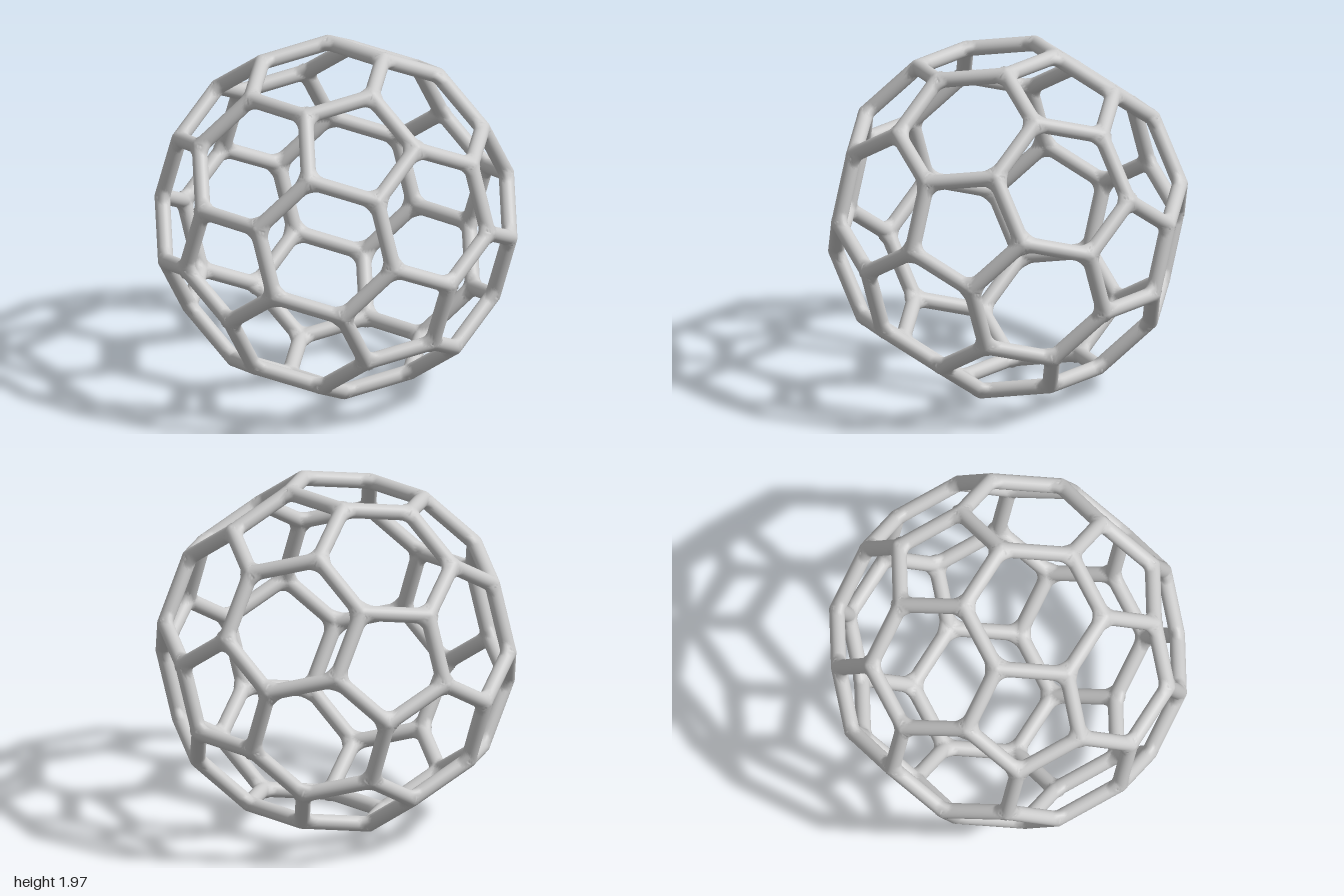
import * as THREE from 'three';
import { mergeGeometries } from 'three/addons/utils/BufferGeometryUtils.js';

const PHI = (1 + Math.sqrt(5)) / 2;
const R = 0.043;                       // strut radius
const FILLET = 0.04;                   // softness of the joints
const SCALE = (1 - R) / (3 * PHI);
const LENGTH = 2 * SCALE;              // edge length
const TILT = Math.atan(1 / PHI);       // brings a pentagon to the front
const SIDES = 24;

// Corners of a truncated icosahedron: signed cyclic permutations
function corners() {
  const out = [];
  for (const base of [[0, 1, 3 * PHI], [1, 2 + PHI, 2 * PHI], [PHI, 2, 2 * PHI + 1]])
    for (let shift = 0; shift < 3; shift++)
      for (let signs = 0; signs < 8; signs++) {
        if (base[0] === 0 && signs & 1) continue;
        const q = base.map((v, i) => (signs >> i & 1 ? -v : v));
        out.push(new THREE.Vector3(q[shift], q[(shift + 1) % 3], q[(shift + 2) % 3])
          .multiplyScalar(SCALE).applyAxisAngle(new THREE.Vector3(1, 0, 0), TILT));
      }
  return out;
}

// Distance to the three struts meeting at a corner, filleted sideways only
function jointDistance(p, joint) {
  const rel = p.clone().sub(joint.pos);
  const up = rel.dot(joint.normal);
  const lateral = Math.sqrt(Math.max(0, rel.lengthSq() - up * up));
  const h = Math.min(1, Math.abs(up + 0.2 * lateral) / R);
  const k = Math.max(0.0005, FILLET * (1 - h * h));
  let nearest = Infinity, sum = 0;
  for (const dir of joint.dirs) {
    const s = Math.max(0, rel.dot(dir));
    const d = rel.distanceTo(dir.clone().multiplyScalar(s)) - R;
    nearest = Math.min(nearest, d);
    sum += Math.max(k - d, 0) ** 2;
  }
  return Math.max(k, nearest) - Math.sqrt(sum);
}

// One strut: rings along an edge, pushed out to the filleted surface
function strutGeometry(a, b) {
  const axis = b.pos.clone().sub(a.pos).normalize();
  const u = a.pos.clone().add(b.pos).normalize();
  const w = axis.clone().cross(u);
  const half = [-0.015, -0.006, 0.004, 0.014, 0.025, 0.038, 0.052, 0.07, 0.1];
  const stations = [...half, ...half.map(s => LENGTH - s).reverse()];
  const positions = [], normals = [], index = [];
  stations.forEach((s, i) => {
    const joint = s < LENGTH / 2 ? a : b;
    const centre = a.pos.clone().addScaledVector(axis, s);
    for (let j = 0; j <= SIDES; j++) {
      const angle = j / SIDES * Math.PI * 2;
      const ray = u.clone().multiplyScalar(Math.cos(angle)).addScaledVector(w, Math.sin(angle));
      const p = centre.clone();
      for (let n = 0; n < 30; n++) {
        const d = jointDistance(p, joint);
        p.addScaledVector(ray, -d);
        if (Math.abs(d) < 1e-5) break;
      }
      // Normal from the slope of the distance field
      const g = ['x', 'y', 'z'].map(c => {
        const hi = p.clone(), lo = p.clone();
        hi[c] += 0.001;
        lo[c] -= 0.001;
        return jointDistance(hi, joint) - jointDistance(lo, joint);
      });
      positions.push(p.x, p.y, p.z);
      normals.push(...new THREE.Vector3(...g).normalize().toArray());
      if (i < stations.length - 1 && j < SIDES) {
        const q = i * (SIDES + 1) + j, r = q + SIDES + 1;
        index.push(q, q + 1, r, q + 1, r + 1, r);
      }
    }
  });
  const geo = new THREE.BufferGeometry();
  geo.setAttribute('position', new THREE.Float32BufferAttribute(positions, 3));
  geo.setAttribute('normal', new THREE.Float32BufferAttribute(normals, 3));
  geo.setIndex(index);
  return geo;
}

// The distance above is negative inside, so walking by -d moves outward
export function createModel() {
  const group = new THREE.Group();
  group.name = 'openFootballCage';
  const points = corners();
  const joints = points.map(pos => ({
    pos,
    normal: pos.clone().normalize(),
    dirs: points.filter(q => Math.abs(q.distanceTo(pos) - LENGTH) < 0.01)
      .map(q => q.clone().sub(pos).normalize()),
  }));

  // A strut on each of the 90 edges
  const struts = [];
  joints.forEach((a, i) => joints.slice(i + 1).forEach(b => {
    if (Math.abs(a.pos.distanceTo(b.pos) - LENGTH) < 0.01) struts.push(strutGeometry(a, b));
  }));
  const lattice = new THREE.Mesh(mergeGeometries(struts),
    new THREE.MeshStandardMaterial({ color: 0xcccccc }));
  lattice.name = 'lattice';
  lattice.geometry.computeBoundingBox();
  lattice.position.y = -lattice.geometry.boundingBox.min.y;
  group.add(lattice);
  return group;
}
